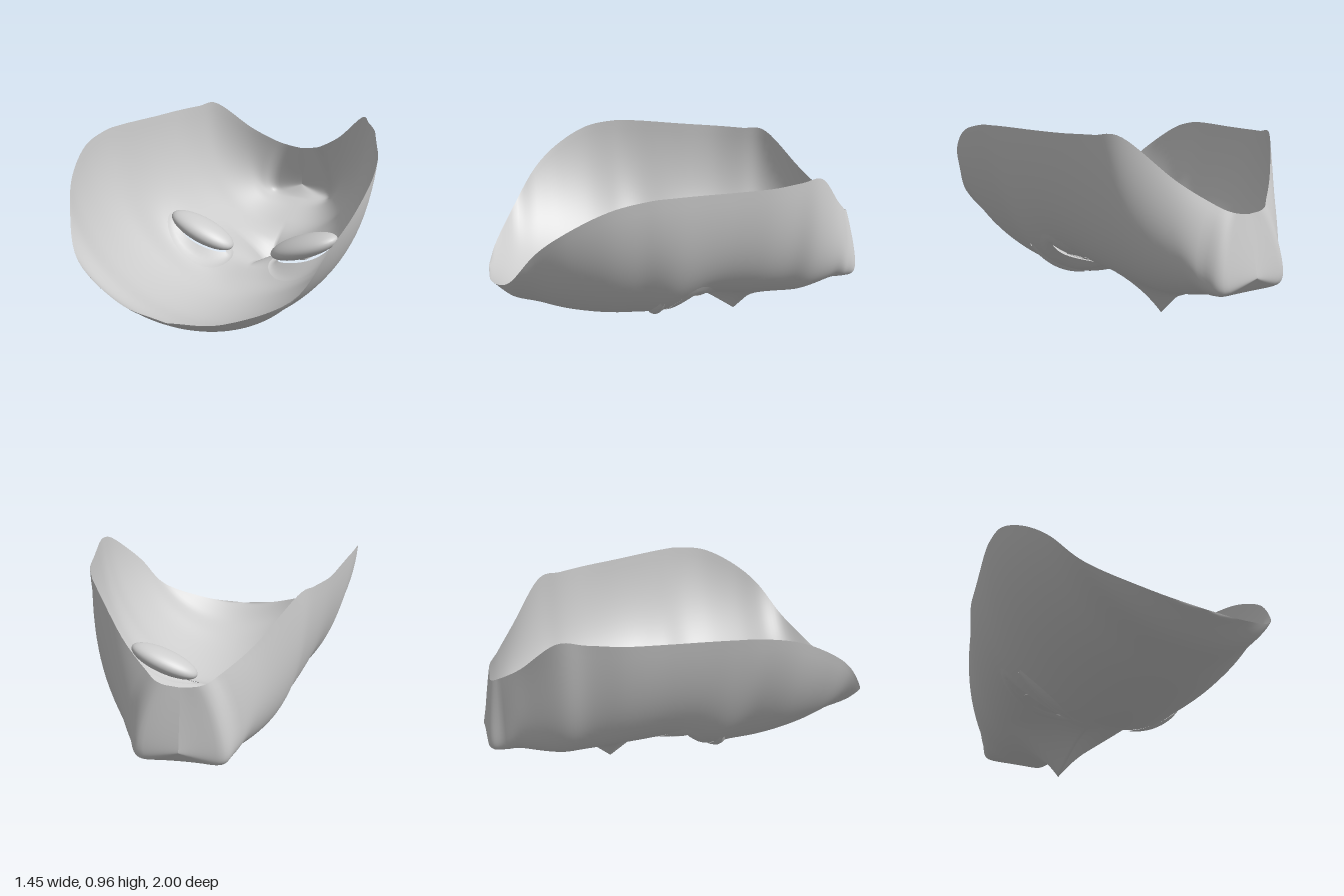
import * as THREE from 'three';

const material = new THREE.MeshStandardMaterial({ color: 0xcccccc, side: THREE.DoubleSide });

// Cross-sections from forehead to chin:
// centre z, centre y, rim z, half width, arc angle, rim y
const STATIONS = [
  [1.0, 0.39, 1.0, 0.5, 0.01, 0.39],
  [0.97, 0.365, 0.97, 0.52, 0.5, 0.42],
  [0.87, 0.285, 0.87, 0.62, 0.97, 0.53],
  [0.74, 0.23, 0.74, 0.655, 1.25, 0.71],
  [0.6, 0.18, 0.6, 0.7, 1.4, 0.83],
  [0.42, 0.14, 0.42, 0.725, 1.5, 0.925],
  [0.25, 0.12, 0.25, 0.715, 1.5, 0.957],
  [0.13, 0.14, 0.13, 0.695, 1.5, 0.957],
  [0.0, 0.195, 0.0, 0.665, 1.5, 0.95],
  [-0.15, 0.22, -0.15, 0.63, 1.5, 0.94],
  [-0.34, 0.2, -0.34, 0.585, 1.5, 0.93],
  [-0.5, 0.18, -0.5, 0.518, 1.6, 0.925],
  [-0.63, 0.175, -0.63, 0.465, 1.8, 0.915],
  [-0.8, 0.205, -0.79, 0.335, 2.1, 0.735],
  [-0.91, 0.228, -0.895, 0.24, 2.45, 0.63],
  [-0.95, 0.25, -0.93, 0.18, 2.65, 0.597],
  [-1.0, 0.31, -0.94, 0.0, 2.7, 0.585],
];
const spline = (from) => new THREE.CatmullRomCurve3(
  STATIONS.map((s) => new THREE.Vector3(...s.slice(from, from + 3))), false, 'catmullrom', 0.5);
const centreCurve = spline(0);
const shapeCurve = spline(3);

// Nose ridge and upper lip: z, height, half width
const NOSE = [
  [0.02, 0, 0.12], [-0.11, 0.067, 0.2], [-0.34, 0.2, 0.32],
  [-0.4, 0.14, 0.32], [-0.46, 0.075, 0.32], [-0.56, 0.025, 0.32], [-0.66, 0, 0.32],
];

function noseDrop(x, z) {
  for (let i = 0; i < NOSE.length - 1; i++) {
    const [z0, h0, w0] = NOSE[i];
    const [z1, h1, w1] = NOSE[i + 1];
    if (z > z0 || z < z1) continue;
    const t = (z0 - z) / (z0 - z1);
    const side = Math.max(0, 1 - Math.abs(x) / THREE.MathUtils.lerp(w0, w1, t));
    return THREE.MathUtils.lerp(h0, h1, t) * side * side;
  }
  return 0;
}

// Nose pushed out, eye sockets pushed in
function relief(x, z) {
  const socket = Math.exp(-(((Math.abs(x) - 0.28) / 0.14) ** 2) - ((z + 0.03) / 0.1) ** 2);
  return 0.04 * socket - noseDrop(x, z);
}

// Point on the shell: t runs forehead to chin, u runs rim to rim (-1..1)
function shellPoint(t, u) {
  const c = centreCurve.getPoint(t);
  const s = shapeCurve.getPoint(t);
  const a = s.y * Math.abs(u);
  // Sections get flatter floors and steeper walls towards the chin
  const { smoothstep, clamp } = THREE.MathUtils;
  const flat = 1 + 0.3 * smoothstep(t, 0.36, 0.5) + 1.5 * smoothstep(t, 0.82, 0.94);
  const f = ((1 - Math.cos(a)) / (1 - Math.cos(s.y))) ** flat;
  const x = Math.sign(u) * s.x * Math.sin(a);
  // The corners of the chin are squared off
  const corner = clamp((t - 0.875) / 0.0625, 0, 1) * 0.034 * (s.x / 0.18);
  const z = c.x + (c.z - c.x) * f - corner * Math.sin(a) ** 2;
  return new THREE.Vector3(x, c.y + (s.z - c.y) * f + relief(x, z), z);
}

// Height of the face at x, z in the region around the eyes
function faceHeight(x, z) {
  let lo = 0, hi = 1;
  for (let i = 0; i < 24; i++) {
    const mid = (lo + hi) / 2;
    if (centreCurve.getPoint(mid).x > z) lo = mid; else hi = mid;
  }
  const s = shapeCurve.getPoint(lo);
  return shellPoint(lo, Math.asin(x / s.x) / s.y).y;
}

const EYE = { x: 0.305, z: -0.01, rx: 0.195, rz: 0.13 };

function gridGeometry(rows, cols, pointAt, keep = () => true) {
  const positions = [], index = [];
  for (let r = 0; r <= rows; r++)
    for (let c = 0; c <= cols; c++) positions.push(...pointAt(r / rows, c / cols).toArray());
  for (let r = 0; r < rows; r++)
    for (let c = 0; c < cols; c++) {
      const p = r * (cols + 1) + c, q = p + 1, s = p + cols + 1;
      for (const tri of [[p, s, q], [q, s, s + 1]]) if (keep(tri)) index.push(...tri);
    }
  const g = new THREE.BufferGeometry();
  g.setAttribute('position', new THREE.Float32BufferAttribute(positions, 3));
  g.setIndex(index);
  g.computeVertexNormals();
  return g;
}

// Face shell: vertices inside an eye hole snap to its edge, the inner faces are left out
function faceGeometry() {
  const inHole = [];
  const pointAt = (v, w) => {
    const k = w * 2 - 1;
    const p = shellPoint(v, Math.sign(k) * Math.pow(Math.abs(k), 1.25));
    const side = p.x < 0 ? -1 : 1;
    const ex = (Math.abs(p.x) - EYE.x) / EYE.rx, ez = (p.z - EYE.z) / EYE.rz;
    const e = Math.hypot(ex, ez);
    inHole.push(e < 1);
    if (e < 1 && e > 0) {
      p.x = side * (EYE.x + (EYE.rx * ex) / e);
      p.z = EYE.z + (EYE.rz * ez) / e;
      p.y = faceHeight(p.x, p.z);
    }
    return p;
  };
  return gridGeometry(96, 64, pointAt, (tri) => !tri.every((i) => inHole[i]));
}

// Lids: a ring from just outside the hole edge to a narrow almond opening
function lidGeometry(side) {
  return gridGeometry(4, 32, (v, w) => {
    const a = w * Math.PI * 2 * side;
    const sin = Math.sin(a);
    const rx = THREE.MathUtils.lerp(EYE.rx * 1.03, 0.15, v);
    const rz = THREE.MathUtils.lerp(EYE.rz * 1.03, 0.045 * Math.abs(sin) ** 0.4, v);
    const x = side * (EYE.x + rx * Math.cos(a)), z = EYE.z - 0.015 * v + rz * sin;
    return new THREE.Vector3(x, faceHeight(x, z) - 0.003 - 0.008 * Math.sin(v * Math.PI), z);
  });
}

// Brow: thin strip arching over the eye, just proud of the face
function browGeometry(side) {
  return gridGeometry(4, 14, (v, w) => {
    const x = side * (0.17 + 0.31 * w);
    const width = 0.07 * Math.sin(Math.PI * (0.1 + 0.8 * w));
    const z = 0.13 + 0.04 * Math.sin(w * Math.PI * 0.8) + width * (v - 0.5) * side;
    const lift = 0.006 + 0.012 * Math.sin(w * Math.PI * 0.8);
    return new THREE.Vector3(x, faceHeight(x, z) - lift * Math.sin(v * Math.PI) - 0.003, z);
  });
}

function part(name, geometry, parent) {
  const mesh = new THREE.Mesh(geometry, material);
  mesh.name = name;
  parent.add(mesh);
  return mesh;
}

export function createModel() {
  const model = new THREE.Group();
  model.name = 'faceMask';
  part('faceShell', faceGeometry(), model);

  for (const [side, label] of [[1, 'left'], [-1, 'right']]) {
    part(label + 'Eyelids', lidGeometry(side), model);
    part(label + 'Brow', browGeometry(side), model);

    // Flattened eyeball with an iris, tilted to follow the cheek
    const eye = new THREE.Group();
    eye.name = label + 'Eye';
    eye.position.set(side * 0.3, faceHeight(side * 0.3, -0.03) + 0.047, -0.03);
    eye.rotation.z = side * 0.4;
    part(label + 'Eyeball', new THREE.SphereGeometry(1, 32, 20).scale(0.2, 0.06, 0.1), eye);
    const iris = part(label + 'Iris', new THREE.CylinderGeometry(0.045, 0.045, 0.012, 20), eye);
    iris.position.y = -0.055;
    model.add(eye);
  }
  return model;
}
